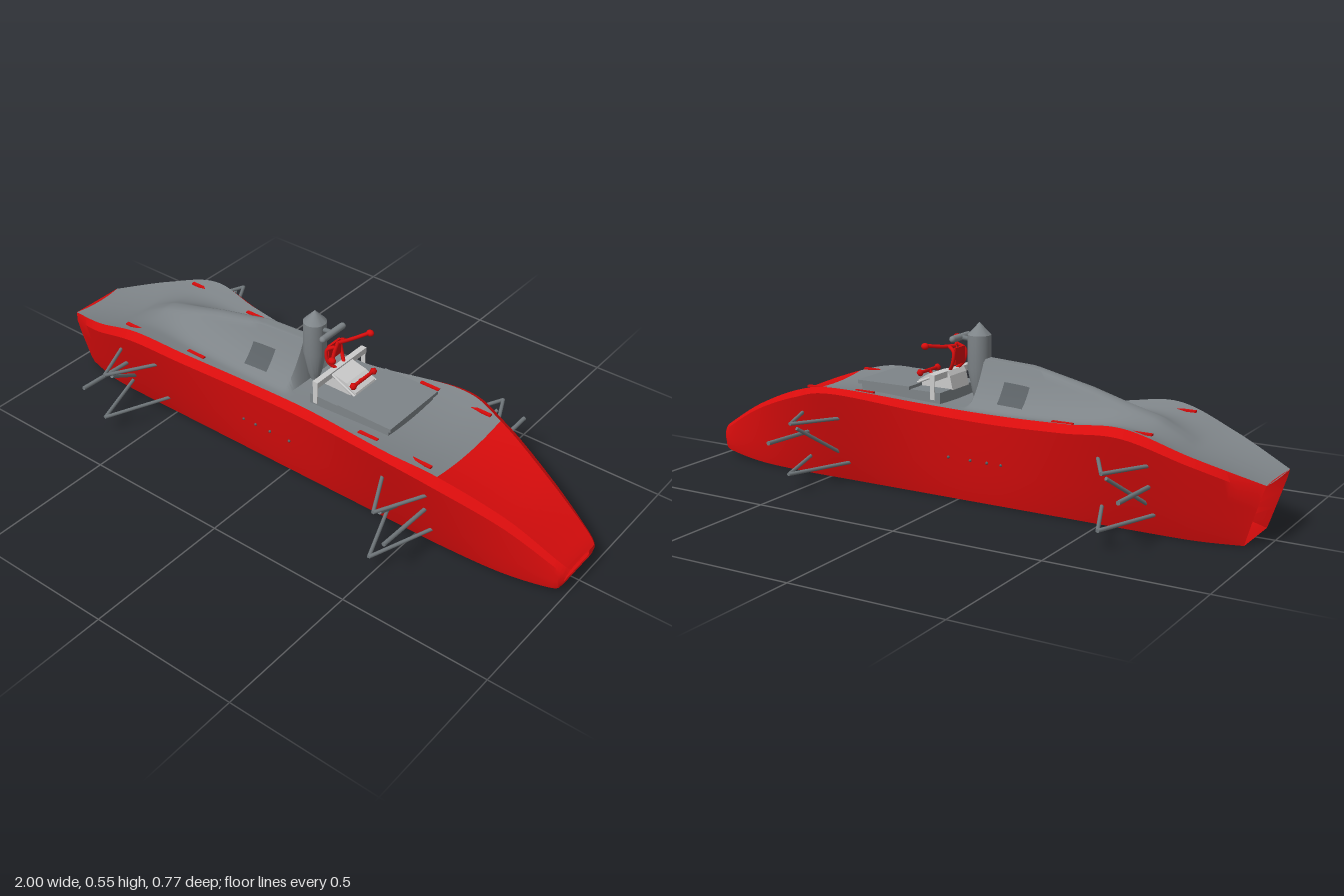
import * as THREE from 'three';
import { toCreasedNormals } from 'three/addons/utils/BufferGeometryUtils.js';

const V = (x, y, z) => new THREE.Vector3(x, y, z);
const paint = (color) => new THREE.MeshStandardMaterial({ color, side: THREE.DoubleSide });
const RED = paint(0xd90c0c), GREY = paint(0x7e8488), DARK = paint(0x5a6064), STEEL = paint(0x70777b), PALE = paint(0xcccccc);

// Stations along the body, tail to nose:
// x, bottom y, bottom half width, shoulder y, shoulder half width, rim y, rim half width, centre y, end slant
const STATIONS = [
  [-1.0, 0, 0.095, 0.165, 0.108, 0.19, 0.1, 0.185, 0.06],
  [-0.8, 0, 0.125, 0.24, 0.19, 0.262, 0.172, 0.24, 0],
  [-0.6, 0, 0.13, 0.3, 0.222, 0.325, 0.2, 0.295, 0],
  [-0.4, 0, 0.13, 0.285, 0.2, 0.308, 0.177, 0.288, 0],
  [-0.15, 0, 0.13, 0.272, 0.175, 0.297, 0.155, 0.292, 0],
  [0.1, 0, 0.13, 0.28, 0.18, 0.302, 0.157, 0.295, 0],
  [0.42, 0, 0.13, 0.31, 0.224, 0.325, 0.2, 0.303, 0],
  [0.59, 0, 0.13, 0.275, 0.2, 0.296, 0.172, 0.28, 0],
  [0.8, 0.003, 0.12, 0.195, 0.142, 0.212, 0.118, 0.206, 0],
  [0.96, 0.02, 0.1, 0.105, 0.1, 0.12, 0.085, 0.118, 0],
  [1.0, 0.035, 0.085, 0.075, 0.084, 0.092, 0.07, 0.09, -0.02],
];
const LAST = STATIONS.length - 1, NOSE = 7, STEPS = 12;
const COLUMNS = STATIONS[0].map((_, c) => new THREE.SplineCurve(STATIONS.map((s) => new THREE.Vector2(s[c], 0))));

function station(u) {
  const [x, by, bh, sy, sh, ry, rh, cy, slant] = COLUMNS.map((c) => c.getPoint(u / LAST).x);
  const at = (y, z) => V(x + slant * (1 - y / ry), y, z);
  return { x, by, bh, sy, sh, ry, rh, cy, at };
}

// Open shell section, from the right rim under the floor to the left rim
function hullSection(u) {
  const s = station(u);
  const half = [[s.ry, s.rh], [s.sy, s.sh]];
  for (const k of [0.3, 0.6, 0.85]) {
    half.push([s.sy + (s.by - s.sy) * k, s.sh + (s.bh - s.sh) * k + 0.003]);
  }
  half.push([s.by, s.bh]);
  return [...half.map(([y, z]) => s.at(y, -z)), ...half.reverse().map(([y, z]) => s.at(y, z))];
}

const RIDGE = [[-0.76, 0.25], [-0.63, 0.318], [-0.4, 0.385], [-0.2, 0.43], [-0.01, 0.44]];
function ridgeHeight(x, base) {
  for (let i = 0; i < RIDGE.length - 1; i++) {
    const [x0, y0] = RIDGE[i], [x1, y1] = RIDGE[i + 1];
    if (x >= x0 && x < x1) return Math.max(0, y0 + (y1 - y0) * (x - x0) / (x1 - x0) - base);
  }
  return 0;
}

// Dished top section, left rim to right rim, with the central fairing rising out of it
function topSection(u) {
  const s = station(u), h = ridgeHeight(s.x, s.cy), N = 32;
  return Array.from({ length: N + 1 }, (_, j) => {
    const t = 1 - (2 * j) / N, z = t * s.rh;
    const a = THREE.MathUtils.clamp((Math.abs(z) - 0.018) / 0.117, 0, 1);
    return s.at(s.cy + (s.ry - s.cy) * t * t + h * (1 - a) ** 1.8, z);
  });
}

// Skin a list of equal-length cross-sections
function skin(sections, crease = 0.6) {
  const n = sections[0].length, index = [];
  for (let i = 0; i < sections.length - 1; i++) {
    for (let j = 0; j < n - 1; j++) {
      const a = i * n + j, b = a + n;
      index.push(a, b, a + 1, b, b + 1, a + 1);
    }
  }
  const g = new THREE.BufferGeometry().setFromPoints(sections.flat());
  g.setIndex(index);
  return toCreasedNormals(g, crease);
}

const sweep = (section, from, to) =>
  Array.from({ length: (to - from) * STEPS + 1 }, (_, i) => section(from + i / STEPS));

export function createModel() {
  const model = new THREE.Group();
  const add = (name, geometry, material, x = 0, y = 0, z = 0) => {
    const m = new THREE.Mesh(geometry, material);
    m.name = name;
    m.position.set(x, y, z);
    model.add(m);
    return m;
  };
  const box = (name, mat, w, h, d, x, y, z) => add(name, new THREE.BoxGeometry(w, h, d), mat, x, y, z);
  const rod = (name, a, b, r, mat = STEEL) => {
    const m = add(name, new THREE.CylinderGeometry(r, r, a.distanceTo(b), 10), mat);
    m.position.copy(a).add(b).multiplyScalar(0.5);
    m.quaternion.setFromUnitVectors(V(0, 1, 0), b.clone().sub(a).normalize());
    return m;
  };
  const tube = (name, pts, r, mat) =>
    add(name, new THREE.TubeGeometry(new THREE.CatmullRomCurve3(pts), 24, r, 8), mat);

  // Body shell, nose cover and deck
  add('hull', skin(sweep(hullSection, 0, LAST)), RED);
  add('noseCover', skin(sweep(topSection, NOSE, LAST)), RED);
  add('deck', skin(sweep(topSection, 0, NOSE), 0.7), GREY);

  // Air duct running through the body from the nose mouth to the recessed tail
  const loop = (u) => { const p = hullSection(u); return [...p, p[0].clone()]; };
  const inner = (u, x, k, cy) => loop(u).map((p) => V(x, cy + (p.y - cy) * k, p.z * k));
  add('airDuct', skin([loop(0), inner(0, -0.9, 0.62, 0.07), inner(LAST, 0.9, 0.85, 0.064),
    inner(LAST, 0.985, 0.85, 0.064), loop(LAST)]), RED);

  // Mast with a conical cap, tapering into the deck
  const mastProfile = [[0.012, 0.29], [0.022, 0.32], [0.038, 0.4], [0.038, 0.51], [0, 0.55]];
  add('mast', toCreasedNormals(new THREE.LatheGeometry(
    mastProfile.map(([r, y]) => new THREE.Vector2(r, y)), 24), 0.5), GREY);
  const bar = add('mirrorBar', new THREE.CapsuleGeometry(0.011, 0.098, 4, 10), GREY, 0.07, 0.495, 0);
  bar.rotation.x = Math.PI / 2;
  rod('mirrorBarMount', V(0.02, 0.49, 0), V(0.07, 0.495, 0), 0.008);

  // Dark side windows lying on the fairing flanks
  for (const s of [1, -1]) {
    const rows = [0, 1, 2, 3, 4].map((i) => {
      const u = 3.76 + i * 0.09;
      return topSection(u).filter((_, j) => (s > 0 ? j >= 6 && j <= 11 : j >= 21 && j <= 26))
        .map((p) => p.add(V(0, 0.003, s * 0.002)));
    });
    add('sideWindow', skin(rows), DARK);
  }

  // Cockpit hatch, its raised base and the screen frame
  box('hatch', GREY, 0.2, 0.012, 0.25, 0.287, 0.337, 0);
  box('hatchBase', GREY, 0.3, 0.04, 0.236, 0.225, 0.313, 0);
  box('screenRail', PALE, 0.02, 0.02, 0.25, 0.1, 0.38, 0);
  for (const s of [1, -1]) {
    box('screenPost', PALE, 0.016, 0.065, 0.003, 0.1, 0.342, s * 0.123);
    rod('screenStay', V(0.1, 0.385, s * 0.05), V(0.2, 0.342, s * 0.055), 0.004, PALE);
  }

  // Dashboard with sloping sides
  const dash = new THREE.Shape([[0.07, 0.33], [0.205, 0.33], [0.2, 0.35], [0.165, 0.372], [0.09, 0.39], [0.08, 0.375]]
    .map(([x, y]) => new THREE.Vector2(x, y)));
  add('dashboard', new THREE.ExtrudeGeometry(dash, { depth: 0.1, bevelEnabled: false }), PALE, 0, 0, -0.05);

  // Steering column, handlebars and the small front lever
  for (const s of [1, -1]) {
    tube('steeringFork', [V(0.1, 0.385, s * 0.02), V(0.08, 0.41, s * 0.035), V(0.075, 0.45, s * 0.035), V(0.1, 0.468, s * 0.025)], 0.006, RED);
    tube('handlebar', [V(0.09, 0.465, 0), V(0.11, 0.466, s * 0.04), V(0.14, 0.474, s * 0.09)], 0.006, RED);
    const grip = add('handlebarGrip', new THREE.SphereGeometry(0.011, 12, 8), RED, 0.143, 0.473, s * 0.097);
    grip.scale.x = 1.2;
    add('leverKnob', new THREE.OctahedronGeometry(0.012, 1), RED, 0.192, 0.374, s * 0.052);
  }
  box('steeringPlate', RED, 0.008, 0.055, 0.06, 0.076, 0.435, 0);
  rod('frontLever', V(0.192, 0.374, -0.05), V(0.192, 0.374, 0.05), 0.006, RED);
  rod('frontLeverStem', V(0.192, 0.374, 0), V(0.17, 0.355, 0), 0.005, RED);

  // Suspension: upper and lower wishbones, shock and tie rod at every corner
  const axles = [
    { x: -0.605, inner: [-0.69, -0.505], tie: -0.675, shock: -0.66 },
    { x: 0.493, inner: [0.4, 0.575], tie: 0.557, shock: 0.445 },
  ];
  for (const a of axles) {
    for (const s of [1, -1]) {
      for (const x of a.inner) {
        rod('upperWishbone', V(x, 0.224, s * 0.17), V(a.x, 0.229, s * 0.35), 0.006);
        rod('lowerWishbone', V(x, 0.066, s * 0.13), V(a.x, 0.066, s * 0.365), 0.006);
      }
      rod('shock', V(a.shock, 0.1, s * 0.16), V(a.x, 0.207, s * 0.318), 0.006);
      rod('tieRod', V(a.tie, 0.156, s * 0.15), V(a.tie, 0.164, s * 0.384), 0.007);
    }
  }

  // Rivets along the flanks and small slots along the deck edges
  for (const s of [1, -1]) {
    for (const x of [-0.17, -0.12, -0.06, 0.02]) {
      add('rivet', new THREE.SphereGeometry(0.005, 8, 6), DARK, x, 0.142, s * 0.157);
    }
    for (const [u, k] of [[1.8, 0.82], [3.1, 0.85], [5.7, 0.85], [6.6, 0.85]]) {
      const p = station(u);
      box('deckSlot', RED, 0.07, 0.006, 0.012, p.x, p.cy + (p.ry - p.cy) * k * k + 0.001, s * k * p.rh);
    }
  }
  return model;
}
